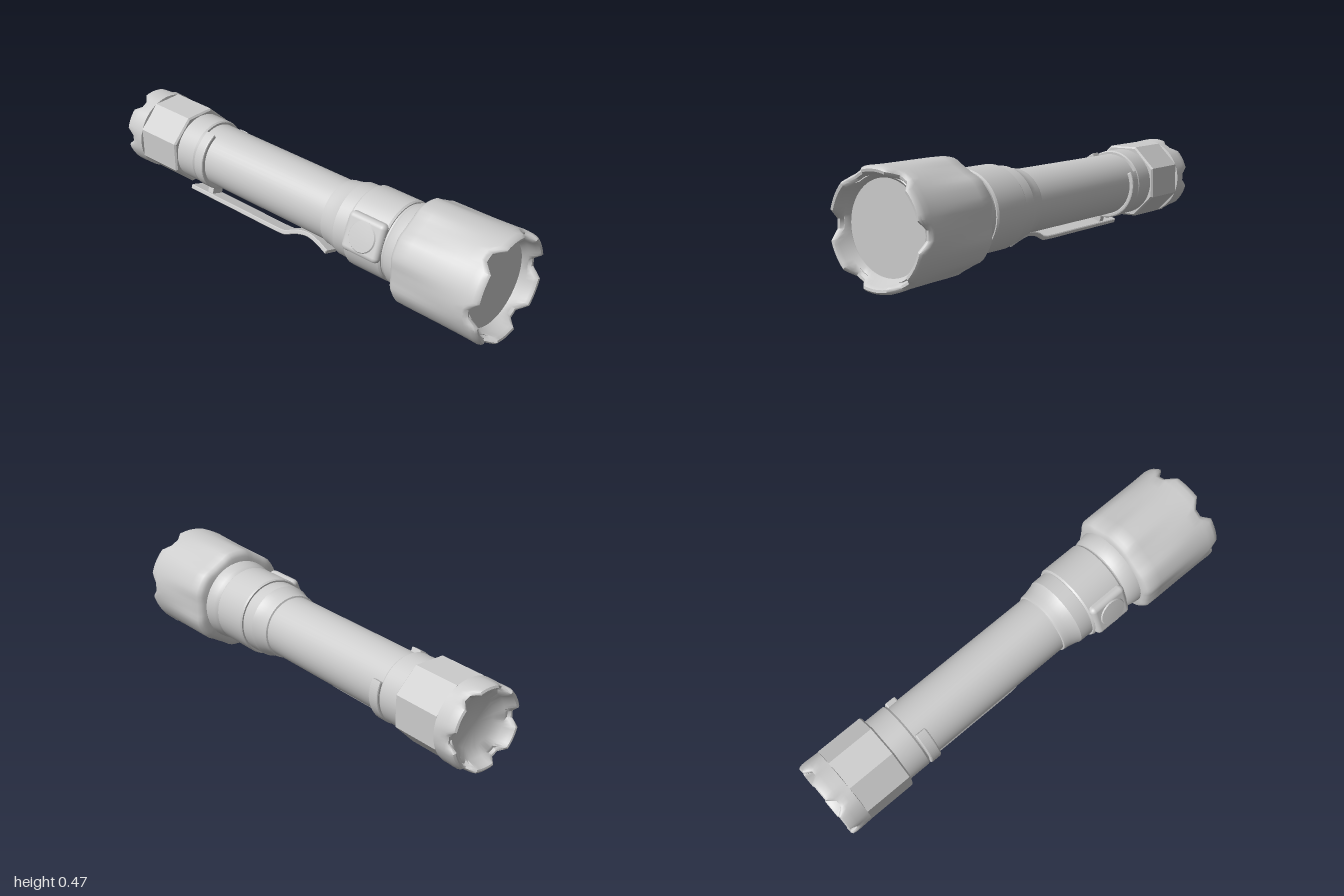
import * as THREE from 'three';
import { mergeVertices, toCreasedNormals } from 'three/addons/utils/BufferGeometryUtils.js';
import { RoundedBoxGeometry } from 'three/addons/geometries/RoundedBoxGeometry.js';

const AXIS_Y = 0.234; // height of the barrel's axis
const TILT = -0.34;   // roll of the clip and switch about the barrel
const CROWN = 6;      // notches around each end

const grey = new THREE.MeshStandardMaterial({ color: 0xcccccc });
const clamp01 = (v) => Math.min(1, Math.max(0, v));
const smooth = (v, a, b) => { const t = clamp01((v - a) / (b - a)); return t * t * (3 - 2 * t); };

function add(parent, name, geometry) {
  const mesh = new THREE.Mesh(geometry, grey);
  mesh.name = name;
  parent.add(mesh);
  return mesh;
}

// Turned part along x from [x, radius] pairs; reshape may move each vertex
function turned(profile, sides = 48, reshape = null, crease = 0.55) {
  let g = new THREE.LatheGeometry(profile.map(([x, r]) => new THREE.Vector2(r, x)), sides);
  g.rotateZ(-Math.PI / 2);
  g.deleteAttribute('uv');
  g.deleteAttribute('normal');
  g = mergeVertices(g, 1e-5);
  if (reshape) {
    const p = g.attributes.position;
    for (let i = 0; i < p.count; i++) {
      const x = p.getX(i), y = p.getY(i), z = p.getZ(i);
      const [nx, k] = reshape(x, Math.hypot(y, z), Math.atan2(y, z));
      p.setXYZ(i, nx, y * k, z * k);
    }
  }
  return toCreasedNormals(g, crease);
}

// 1 inside a notch, 0 on a crown tooth
const notch = (a) => smooth(Math.cos(CROWN * a), 0.1, 0.9);

// Head: scooped flats that fade forward, and a notched bezel
function shapeHead(x, r, a) {
  const flat = smooth(Math.cos(CROWN * a), -0.5, 1);
  const fade = 1 - smooth(x, 0.62, 0.95);
  const k = r > 0.205 && x > 0.58 ? 1 - 0.055 * flat * fade : 1;
  return [x - 0.04 * notch(a) * smooth(x, 0.945, 0.985), k];
}

// Tail: notched rim
function shapeTail(x, r, a) {
  const k = r > 0.165 ? 1 - 0.03 * notch(a) * smooth(-x, 0.9, 0.96) : 1;
  return [x + 0.032 * notch(a) * smooth(-x, 0.955, 0.99), k];
}

// Side outline of the clip: a centre line thickened by t
function clipGeometry(width, t) {
  const ends = [
    [-0.655, -0.19], [-0.5, -0.19], [-0.3, -0.19], [-0.12, -0.19], [-0.07, -0.186],
    [-0.02, -0.163], [0.05, -0.148], [0.11, -0.16], [0.165, -0.182],
  ].map(([x, y]) => new THREE.Vector3(x, y, 0));
  const curve = new THREE.CatmullRomCurve3(ends);
  const upper = [], lower = [];
  for (let i = 0; i <= 48; i++) {
    const p = curve.getPoint(i / 48), d = curve.getTangent(i / 48);
    upper.push(new THREE.Vector2(p.x - d.y * t / 2, p.y + d.x * t / 2));
    lower.push(new THREE.Vector2(p.x + d.y * t / 2, p.y - d.x * t / 2));
  }
  const g = new THREE.ExtrudeGeometry(new THREE.Shape([...lower, ...upper.reverse()]), {
    depth: width - 0.008, bevelThickness: 0.004, bevelSize: 0.003, bevelOffset: -0.003, bevelSegments: 1,
  });
  return g.translate(0, 0, -width / 2 + 0.004);
}

// Open spring ring, its gap facing up
function ringGeometry(inner, outer, width, halfGap) {
  const start = Math.PI / 2 + halfGap, end = Math.PI * 2.5 - halfGap;
  const s = new THREE.Shape();
  s.absarc(0, 0, outer, start, end, false);
  s.absarc(0, 0, inner, end, start, true);
  const g = new THREE.ExtrudeGeometry(s, {
    depth: width - 0.012, curveSegments: 40, bevelThickness: 0.006, bevelSize: 0.006, bevelOffset: -0.006, bevelSegments: 2,
  });
  return g.translate(0, 0, -width / 2 + 0.006).rotateY(Math.PI / 2);
}

export function createModel() {
  const model = new THREE.Group();
  model.name = 'flashlight';
  const body = new THREE.Group();
  body.name = 'body';
  body.position.y = AXIS_Y;
  model.add(body);

  // Tail crown with a hollow end
  add(body, 'tailCrown', turned([
    [-0.93, 0], [-0.932, 0.1], [-0.955, 0.135], [-0.985, 0.15], [-0.998, 0.157], [-1, 0.164],
    [-0.995, 0.172], [-0.98, 0.176], [-0.955, 0.176], [-0.93, 0.175], [-0.9, 0.174], [-0.895, 0.15],
  ], 72, shapeTail, 0.7));

  // Eight-sided tail grip
  const grip = turned([
    [-0.905, 0.14], [-0.9, 0.176], [-0.685, 0.176], [-0.678, 0.168], [-0.678, 0.13],
  ], 8, null, 0.2);
  grip.rotateX(Math.PI / 8);
  add(body, 'tailGrip', grip);

  add(body, 'tailCollar', turned([
    [-0.69, 0.13], [-0.68, 0.151], [-0.58, 0.151], [-0.572, 0.146], [-0.572, 0.12],
  ]));

  add(body, 'barrel', turned([[-0.6, 0.136], [0.19, 0.136]]));

  // Stepped neck, switch section and throat
  add(body, 'neck', turned([
    [0.17, 0.13], [0.175, 0.143], [0.185, 0.145], [0.205, 0.147], [0.245, 0.157],
    [0.255, 0.162], [0.32, 0.163],
  ], 48, null, 0.4));
  add(body, 'switchSection', turned([
    [0.318, 0.15], [0.318, 0.17], [0.326, 0.175], [0.5, 0.175], [0.508, 0.17], [0.508, 0.15],
  ]));
  add(body, 'throat', turned([
    [0.5, 0.165], [0.515, 0.165], [0.53, 0.176], [0.575, 0.184], [0.59, 0.185],
  ]));

  // Head with scooped sides and a notched bezel around the lens
  add(body, 'head', turned([
    [0.58, 0.17], [0.582, 0.206], [0.59, 0.22], [0.605, 0.231], [0.66, 0.232], [0.72, 0.232],
    [0.78, 0.232], [0.84, 0.232], [0.9, 0.232], [0.945, 0.233], [0.975, 0.234], [0.992, 0.23],
    [1, 0.222], [0.998, 0.212], [0.985, 0.203], [0.95, 0.199], [0.932, 0.184], [0.925, 0.183],
  ], 72, shapeHead, 0.7));
  add(body, 'lens', turned([[0.92, 0.186], [0.928, 0.185], [0.928, 0]]));

  // Side switch on a raised flat pad
  const sideSwitch = new THREE.Group();
  sideSwitch.name = 'sideSwitch';
  sideSwitch.rotation.x = -0.38;
  body.add(sideSwitch);
  add(sideSwitch, 'switchPad', new RoundedBoxGeometry(0.184, 0.165, 0.1, 4, 0.022)).position.set(0.416, 0, 0.137);
  const button = turned([[0.15, 0.065], [0.187, 0.065], [0.192, 0.061], [0.194, 0.03], [0.194, 0]], 32);
  button.rotateY(-Math.PI / 2);
  add(sideSwitch, 'button', button).position.x = 0.418;

  // Pocket clip on its spring ring
  const clip = new THREE.Group();
  clip.name = 'pocketClip';
  clip.rotation.x = TILT;
  body.add(clip);
  add(clip, 'clipRing', ringGeometry(0.133, 0.155, 0.052, 0.78)).position.x = -0.542;
  add(clip, 'clipPost', new THREE.BoxGeometry(0.03, 0.045, 0.06)).position.set(-0.542, -0.168, 0);
  add(clip, 'clipArm', clipGeometry(0.08, 0.02));

  return model;
}
